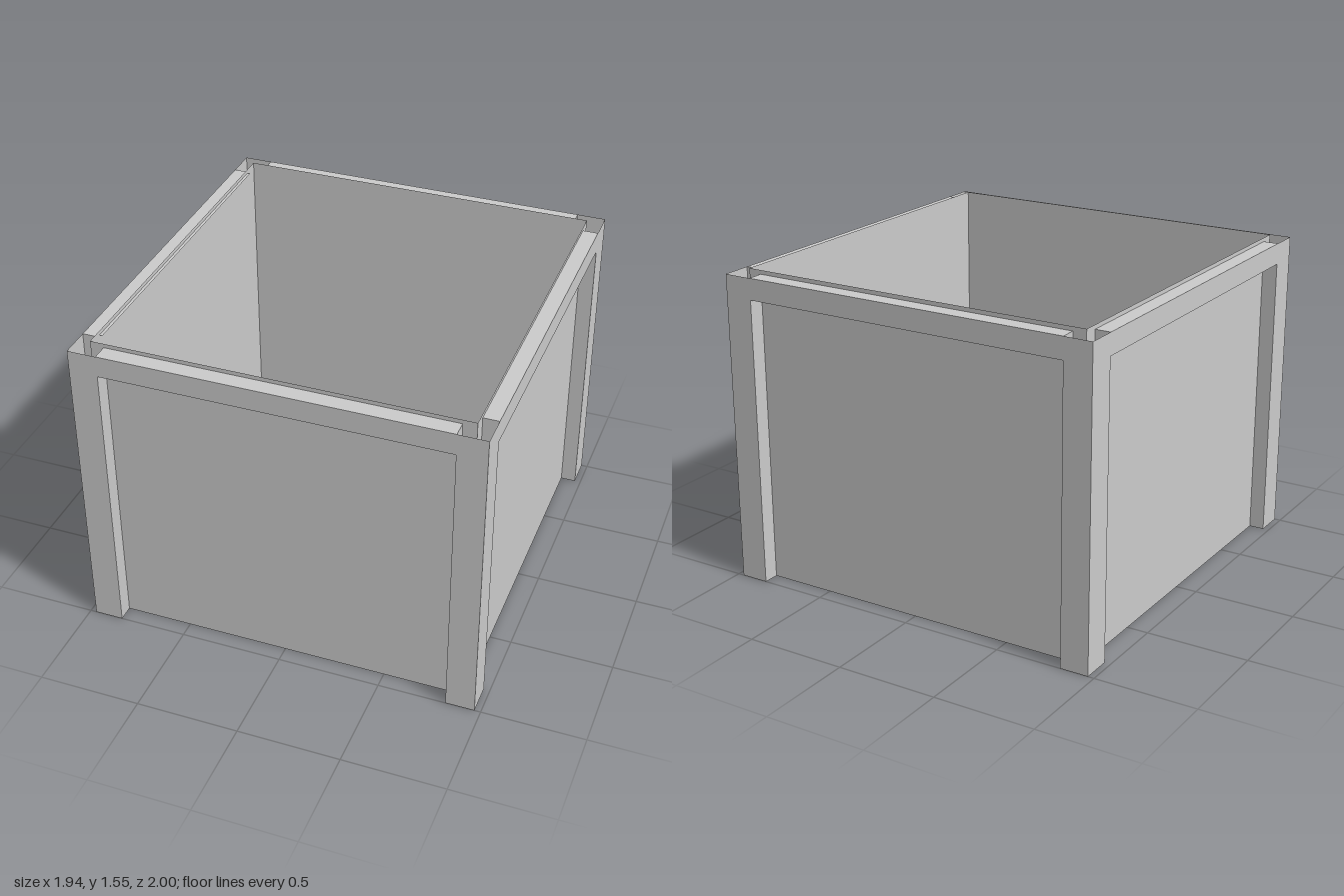
import * as THREE from 'three';

const TOP = 1.53, RIM = 1.55, OPENING = 1.425;
const mat = new THREE.MeshStandardMaterial({ color: 0xcccccc, side: THREE.DoubleSide, flatShading: true });

function sheet(group, name, geometry, x = 0, y = 0, z = 0) {
  const mesh = new THREE.Mesh(geometry, mat);
  mesh.name = name;
  mesh.position.set(x, y, z);
  group.add(mesh);
  return mesh;
}

// One wall facing +z: w = half width, o = half opening, out / inn = frame and panel
// distance from the centre, iw = panel half width, lip = ledge overhang to the inside
function wall(name, w, o, out, inn, iw, lip) {
  const g = new THREE.Group();
  g.name = name;
  const depth = out - inn, mid = (out + inn) / 2;

  // recessed panel, rising a little above the frame as a rim
  sheet(g, 'panel', new THREE.PlaneGeometry(iw * 2, RIM), 0, RIM / 2, inn);

  // upside-down U frame face: two legs and a top rail
  const u = new THREE.Shape([
    [-w, 0], [-o, 0], [-o, OPENING], [o, OPENING], [o, 0], [w, 0], [w, TOP], [-w, TOP],
  ].map(([x, y]) => new THREE.Vector2(x, y)));
  sheet(g, 'frameFace', new THREE.ShapeGeometry(u), 0, 0, out);

  // leg returns back to the panel; the legs stay hollow and open at both ends
  for (const s of [-1, 1]) {
    sheet(g, 'legReturn', new THREE.PlaneGeometry(depth, TOP).rotateY(s * -Math.PI / 2), s * o, TOP / 2, mid);
  }

  // underside and top ledge of the rail
  sheet(g, 'railUnderside', new THREE.PlaneGeometry(o * 2, depth).rotateX(Math.PI / 2), 0, OPENING, mid);
  sheet(g, 'railLedge', new THREE.PlaneGeometry(o * 2, depth).rotateX(-Math.PI / 2), 0, TOP, mid);
  if (lip) {
    sheet(g, 'innerLip', new THREE.PlaneGeometry(o * 2 - 0.03, lip).rotateX(-Math.PI / 2), 0, TOP, inn - lip / 2);
  }
  return g;
}

export function createModel() {
  const model = new THREE.Group();
  model.name = 'openBox';
  const sides = [
    ['frontWall', 0, 0], ['leftWall', 1, 0], ['backWall', 2, 0], ['rightWall', 3, 0.015],
  ];
  for (const [name, turn, lip] of sides) {
    const g = turn % 2
      ? wall(name, 1, 0.85, 0.97, 0.895, 0.92, lip)
      : wall(name, 0.97, 0.83, 1, 0.92, 0.895, lip);
    g.rotation.y = turn * Math.PI / 2;
    model.add(g);
  }
  return model;
}
